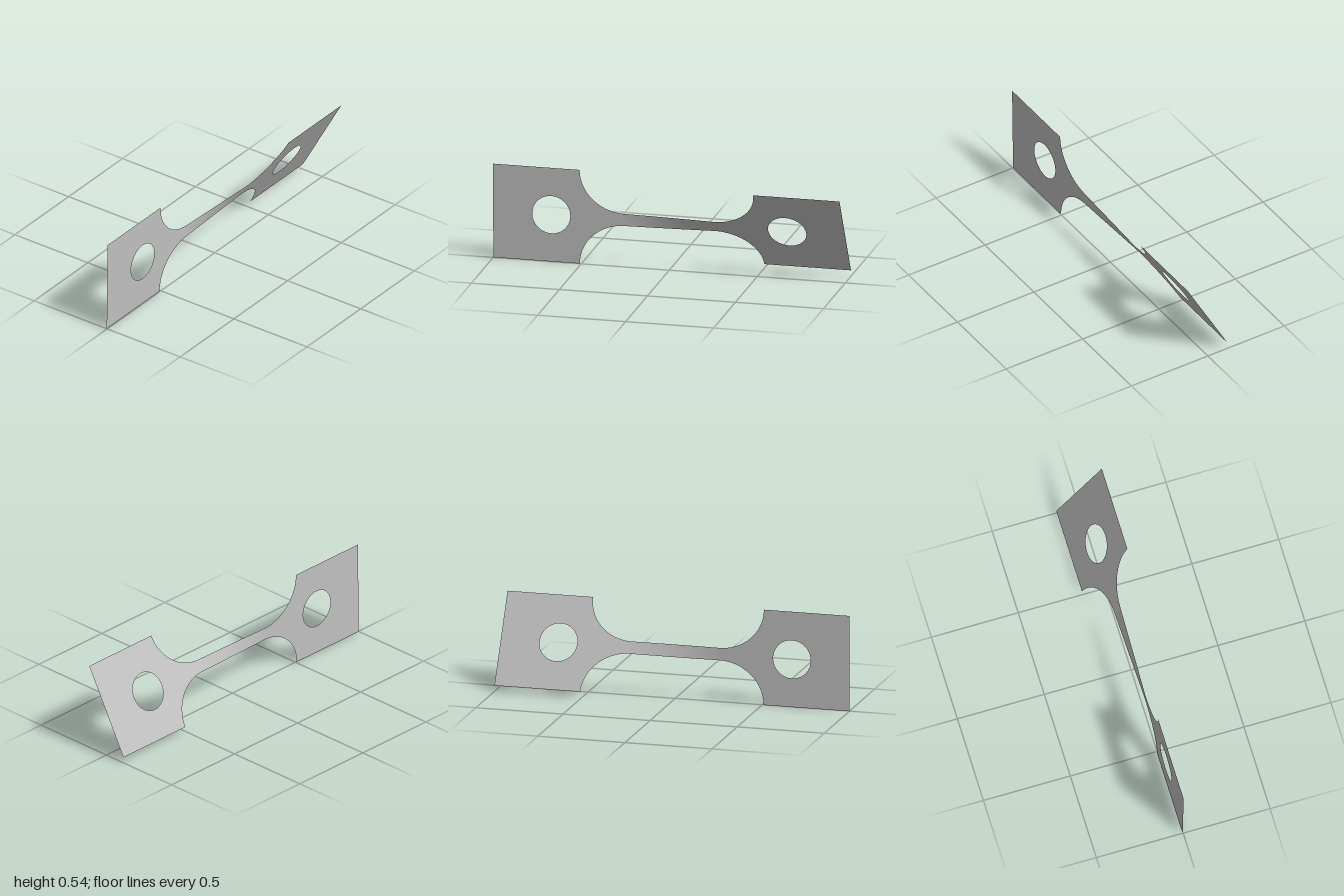
import * as THREE from 'three';

const HALF = 0.271;      // half height of the grip plates
const NECK = 0.035;      // half height of the narrow bar
const INNER = 0.508;     // where plates meet the fillets
const FILLET = 0.255;    // fillet length along x

// half height of the bar, flaring in quarter-round fillets
function halfHeight(x) {
  const t = Math.min(1, Math.max(0, (Math.abs(x) - (INNER - FILLET)) / FILLET));
  return NECK + (HALF - NECK) * (1 - Math.sqrt(1 - t * t));
}

// roll about the long axis, nearly all of it along the narrow bar
function twistAngle(x) {
  const t = Math.min(1, Math.max(0, (x + 0.27) / 0.54));
  return 0.012 + 0.493 * t;
}

function twist(geometry) {
  const p = geometry.attributes.position;
  for (let i = 0; i < p.count; i++) {
    const x = p.getX(i), y = p.getY(i), a = twistAngle(x);
    p.setXYZ(i, x, y * Math.cos(a) + HALF, y * Math.sin(a));
  }
  geometry.computeVertexNormals();
  return geometry;
}

// square grip plate with a round hole
function gripGeometry(side) {
  const x0 = side < 0 ? -1 : INNER, x1 = side < 0 ? -INNER : 1;
  const shape = new THREE.Shape();
  shape.moveTo(x0, -HALF).lineTo(x1, -HALF).lineTo(x1, HALF).lineTo(x0, HALF).closePath();
  const hole = new THREE.Path();
  hole.absarc(side * 0.67, 0, 0.108, 0, Math.PI * 2, true);
  shape.holes.push(hole);
  return twist(new THREE.ShapeGeometry(shape, 32));
}

// narrow bar with flared ends, columns packed towards the ends
function barGeometry() {
  const g = new THREE.PlaneGeometry(2, 2, 80, 6);
  const p = g.attributes.position;
  for (let i = 0; i < p.count; i++) {
    const x = INNER * Math.sin(p.getX(i) * Math.PI / 2);
    p.setXY(i, x, p.getY(i) * halfHeight(x));
  }
  return twist(g);
}

export function createModel() {
  const group = new THREE.Group();
  group.name = 'twistedTestStrip';
  const metal = new THREE.MeshStandardMaterial({ color: 0xc0c0c0, side: THREE.DoubleSide });
  metal.name = 'lightGreyMetal';

  const add = (name, geometry) => {
    const mesh = new THREE.Mesh(geometry, metal);
    mesh.name = name;
    group.add(mesh);
  };
  add('rightGripPlate', gripGeometry(-1));
  add('leftGripPlate', gripGeometry(1));
  add('twistedBar', barGeometry());
  return group;
}
